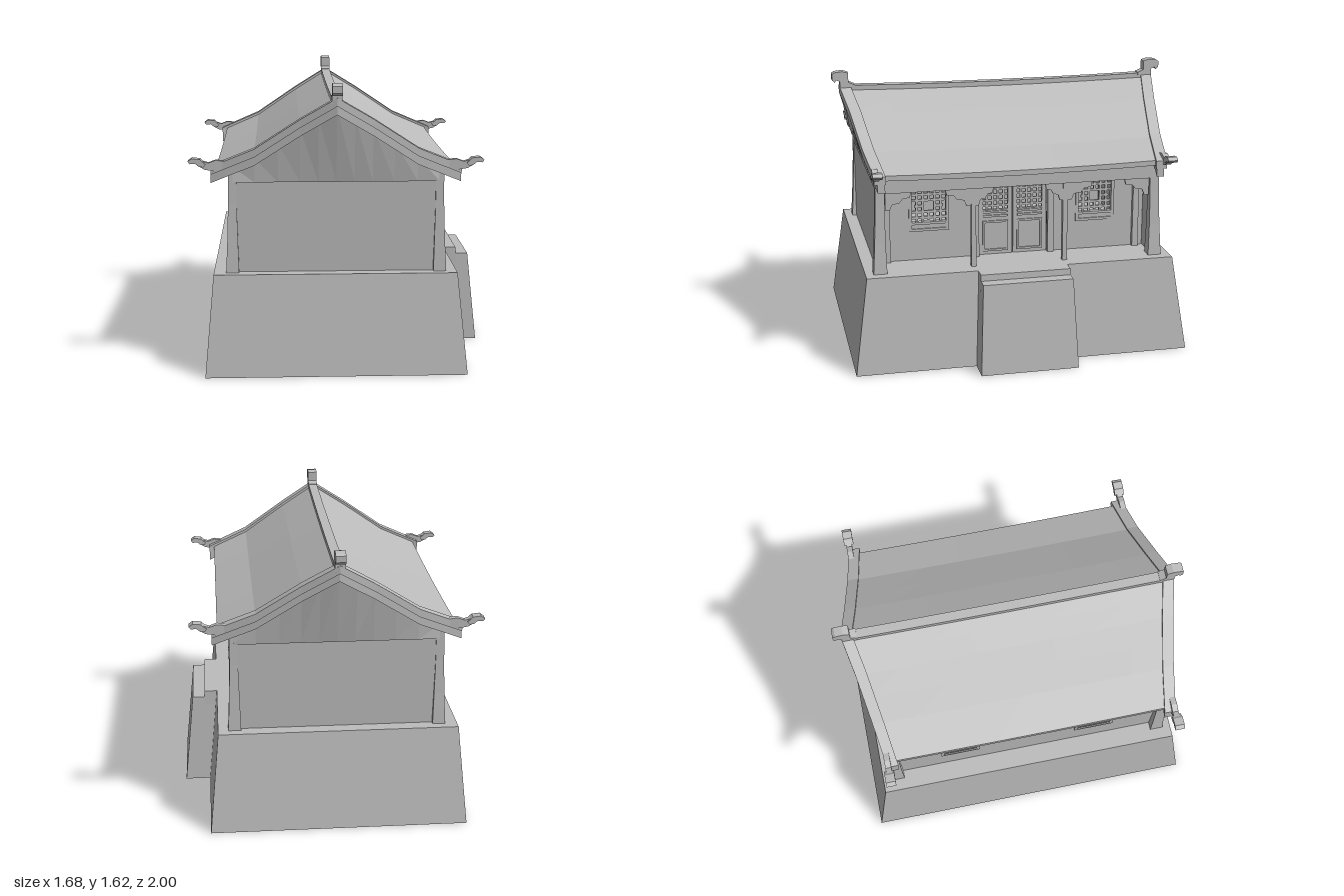
import * as THREE from 'three';

const CX = -0.03;          // centre line of the hall
const FLOOR = 0.565;       // top of the platform
const stone = new THREE.MeshStandardMaterial({ color: 0xbcbcbc, flatShading: true, side: THREE.DoubleSide });
stone.name = 'grey stone';

// Piecewise linear curves across the roof, by distance from the ridge
const curve = (pts) => (x) => {
  const d = Math.abs(x);
  let i = 1;
  while (i < pts.length - 1 && d > pts[i][0]) i++;
  const [a, b] = [pts[i - 1], pts[i]];
  return a[1] + (b[1] - a[1]) * (d - a[0]) / (b[0] - a[0]);
};
const roofY = curve([[0, 1.52], [0.2, 1.4], [0.45, 1.235], [0.69, 1.135]]);
const roofZ = curve([[0, 0.96], [0.2, 0.92], [0.45, 0.88], [0.69, 0.845]]);
const across = (w) => [-w, -0.45, -0.32, -0.2, -0.1, 0, 0.1, 0.2, 0.32, 0.45, w];

// Skin closed rings of [x, y, z] points; cap the ends when asked
function loft(rings, capStart = true, capEnd = true) {
  const n = rings[0].length, pos = rings.flat(2), idx = [];
  for (let r = 0; r < rings.length - 1; r++) {
    for (let i = 0; i < n; i++) {
      const a = r * n + i, b = r * n + (i + 1) % n;
      idx.push(a, b, b + n, a, b + n, a + n);
    }
  }
  const cap = (o, flip) => {
    for (let i = 0; i < n / 2 - 1; i++) {
      const [a, b, c, d] = [o + i, o + i + 1, o + n - 2 - i, o + n - 1 - i];
      idx.push(...(flip ? [a, c, b, a, d, c] : [a, b, c, a, c, d]));
    }
  };
  if (capStart) cap(0, true);
  if (capEnd) cap((rings.length - 1) * n, false);
  // turn the faces outward by the sign of the volume
  const v = (i) => new THREE.Vector3(pos[3 * i], pos[3 * i + 1] - 0.8, pos[3 * i + 2]);
  let vol = 0;
  for (let i = 0; i < idx.length; i += 3) vol += v(idx[i]).dot(v(idx[i + 1]).cross(v(idx[i + 2])));
  if (vol < 0) idx.reverse();
  const g = new THREE.BufferGeometry();
  g.setAttribute('position', new THREE.Float32BufferAttribute(pos, 3));
  g.setIndex(idx);
  const flat = g.toNonIndexed();
  flat.computeVertexNormals();
  return flat;
}

const rect = (x0, x1, z0, z1, y) => [[x0, y, z0], [x1, y, z0], [x1, y, z1], [x0, y, z1]];

// Shape drawn in (z, y), given a thickness along x, its front at x
function sideShape(points, holes, x, depth) {
  const toPath = (p) => p.map(([a, b]) => new THREE.Vector2(a, b));
  const shape = new THREE.Shape(toPath(points));
  shape.holes = holes.map((h) => new THREE.Path(toPath(h)));
  const g = new THREE.ExtrudeGeometry(shape, { depth, bevelEnabled: false });
  return g.rotateY(-Math.PI / 2).translate(x, 0, 0);
}
const box2 = (a0, a1, b0, b1) => [[a0, b0], [a1, b0], [a1, b1], [a0, b1]];

export function createModel() {
  const model = new THREE.Group();
  model.name = 'hall on platform';
  const add = (name, geo, parent = model) => {
    const m = new THREE.Mesh(geo, stone);
    m.name = name;
    parent.add(m);
    return m;
  };
  const box = (name, x0, x1, y0, y1, z0, z1, parent) =>
    add(name, new THREE.BoxGeometry(x1 - x0, y1 - y0, z1 - z0)
      .translate((x0 + x1) / 2, (y0 + y1) / 2, (z0 + z1) / 2), parent);

  // Platform, landing and step, hollow below
  add('platform', loft([rect(-0.76, 0.695, -0.99, 0.98, 0), rect(-0.71, 0.64, -0.905, 0.9, FLOOR)], false));
  add('landing', loft([rect(0.6, 0.74, -0.28, 0.275, 0), rect(0.6, 0.713, -0.265, 0.26, FLOOR)], false));
  add('step', loft([rect(0.62, 0.84, -0.29, 0.283, 0), rect(0.6, 0.785, -0.265, 0.26, 0.528)], false));

  // Roof slab, swept along z with a slight sag
  const w = 0.66, stations = across(w);
  add('roof', loft([-1, -0.75, -0.5, -0.25, 0, 0.25, 0.5, 0.75, 1].map((t) => {
    const at = (dy) => (d) => [CX + d, roofY(d) + dy + 0.012 * (t * t - 1), t * (roofZ(d) - 0.04)];
    return [...stations.map(at(0.01)), ...stations.slice().reverse().map(at(-0.02))];
  })));

  // Ridge beam
  add('ridge', loft([-0.95, -0.6, -0.3, 0, 0.3, 0.6, 0.95].map((z) => {
    const y = 1.53 + 0.014 * z * z;
    return [[CX - 0.027, y, z], [CX + 0.027, y, z], [CX + 0.027, y - 0.04, z], [CX - 0.027, y - 0.04, z]];
  })));

  for (const s of [-1, 1]) {
    // Gable edges: two stacked bands following the roof line
    const band = (name, top, bottom, zIn, zOut) => add(name, loft(across(0.69).map((d) => {
      const x = CX + d, y = roofY(d), zi = s * (roofZ(d) - zIn), zo = s * (roofZ(d) - zOut);
      return [[x, y + top, zi], [x, y + top, zo], [x, y + bottom, zo], [x, y + bottom, zi]];
    })));
    band('upperGableBand', 0.025, -0.02, 0.065, 0);
    band('lowerGableBand', -0.02, -0.068, 0.06, 0.018);

    // Curled ridge end
    const ridgeEnd = [[0.87, 1.51], [0.955, 1.51], [0.955, 1.565], [0.975, 1.575], [0.985, 1.56], [1, 1.575],
      [1, 1.61], [0.985, 1.62], [0.94, 1.625], [0.905, 1.615], [0.905, 1.56], [0.87, 1.545]];
    add('ridgeEnd', sideShape(ridgeEnd.map(([z, y]) => [s * z, y]), [], CX + 0.028, 0.056));

    // Curled eave ends
    for (const e of [-1, 1]) {
      const curl = (name, pts, depth) => {
        const shape = new THREE.Shape(pts.map(([d, y]) => new THREE.Vector2(CX + e * d, y)));
        add(name, new THREE.ExtrudeGeometry(shape, { depth, bevelEnabled: false })
          .translate(0, 0, s * 0.838 - depth / 2));
      };
      curl('eaveNeck', [[0.58, 1.16], [0.6, 1.19], [0.66, 1.197], [0.7, 1.182], [0.76, 1.2], [0.76, 1.168], [0.72, 1.145], [0.66, 1.135]], 0.034);
      curl('eaveCurl', [[0.715, 1.175], [0.745, 1.203], [0.79, 1.208], [0.812, 1.192], [0.8, 1.178], [0.77, 1.18], [0.75, 1.163], [0.725, 1.16]], 0.056);
    }

    // Gable wall and the upper gable leaning out to the roof edge
    box('gableWall', -0.59, 0.53, FLOOR, 1.09, s * 0.815 - 0.012, s * 0.815 + 0.012);
    add('upperGable', loft(across(0.57).map((d) => {
      const x = CX + d, top = roofY(d) - 0.03, z = roofZ(d) - 0.035;
      return [[x, top, s * (z - 0.03)], [x, top, s * z], [x, 1.07, s * 0.835], [x, 1.07, s * 0.8]];
    })));

    // Flared corner pillars
    for (const e of [-1, 1]) {
      const ring = (d0, d1, z0, z1, y) => rect(CX + e * d0, CX + e * d1, s * z0, s * z1, y);
      add('cornerPillar', loft([ring(0.54, 0.612, 0.775, 0.853, FLOOR), ring(0.545, 0.603, 0.78, 0.842, 0.75),
        ring(0.55, 0.597, 0.78, 0.833, 0.95), ring(0.55, 0.595, 0.775, 0.83, 1.15)]));
    }

    // Porch columns, wall posts and hanging brackets
    box('porchColumn', 0.53, 0.56, FLOOR, 1.05, s * 0.27 - 0.014, s * 0.27 + 0.014);
    box('doorPost', 0.365, 0.4, FLOOR, 1.06, s * 0.225 - 0.018, s * 0.225 + 0.018);
    box('wallPost', 0.365, 0.4, FLOOR, 1.06, s * 0.75 - 0.018, s * 0.75 + 0.018);
    const bracket = [[0, 1.04], [0, 0.93], [0.025, 0.93], [0.04, 0.965], [0.08, 0.97], [0.1, 0.995], [0.14, 1], [0.15, 1.04]];
    for (const [z, dir] of [[0.775, -1], [0.284, 1], [0.256, -0.7]]) {
      add('porchBracket', sideShape(bracket.map(([a, y]) => [s * (z + dir * a), y]), [], 0.553, 0.016));
    }
  }

  // Beams below the eaves
  box('frontBeam', 0.52, 0.57, 1.035, 1.16, -0.79, 0.79);
  box('backBeam', -0.625, -0.58, 1.035, 1.16, -0.79, 0.79);

  // Front and back walls with window and door openings
  const y0 = 0.795, y1 = 0.985;
  const openings = (c) => [c, -c].map((z) => box2(z - 0.1, z + 0.1, y0, y1));
  const door = [[-0.21, FLOOR], [-0.21, 1], [0.21, 1], [0.21, FLOOR]];
  const frontOutline = [[-0.8, FLOOR], ...door, [0.8, FLOOR], [0.8, 1.16], [-0.8, 1.16]];
  add('frontWall', sideShape(frontOutline, openings(0.5), 0.375, 0.025));
  add('backWall', sideShape(box2(-0.8, 0.8, FLOOR, 1.16), openings(0.41), -0.57, 0.025));

  // Lattice windows: raised frame, sill panel and crossed bars
  function latticeWindow(x, out, z) {
    const g = new THREE.Group();
    g.name = 'latticeWindow';
    model.add(g);
    const frame = sideShape(box2(-0.118, 0.118, 0.74, 1.0),
      [box2(-0.1, 0.1, y0, y1), box2(-0.1, 0.1, 0.755, 0.78)], 0.008, 0.016);
    add('windowFrame', frame.translate(x, 0, z), g);
    const b = 0.007;
    const bar = (z0, z1, ya, yb) => box('latticeBar', x - 0.014 * (out > 0 ? 1 : 0), x + 0.014 * (out > 0 ? 0 : 1), ya, yb, z + z0, z + z1, g);
    for (const k of [-0.07, -0.035, 0.035, 0.07]) {
      bar(k - b, k + b, y0, y1);
      bar(-0.1, 0.1, 0.89 + k - b, 0.89 + k + b);
    }
    for (const k of [-1, 1]) {
      bar(-b, b, 0.89 + k * 0.06 - 0.025, 0.89 + k * 0.06 + 0.025);
      bar(k * 0.06 - 0.025, k * 0.06 + 0.025, 0.883, 0.897);
    }
  }
  for (const s of [-1, 1]) {
    latticeWindow(0.375, 1, s * 0.5);
    latticeWindow(-0.595, -1, s * 0.41);
  }

  // Double door: lattice above, plain panels below
  for (const s of [-1, 1]) {
    const leaf = new THREE.Group();
    leaf.name = 'doorLeaf';
    model.add(leaf);
    const mid = s * 0.103;
    add('doorPanel', sideShape(box2(mid - 0.1, mid + 0.1, FLOOR, 1), [box2(mid - 0.075, mid + 0.075, 0.84, 0.985)], 0.365, 0.02), leaf);
    for (const k of [-0.05, -0.017, 0.017, 0.05]) {
      box('doorLatticeBar', 0.348, 0.36, 0.84, 0.985, mid + k - 0.006, mid + k + 0.006, leaf);
      box('doorLatticeBar', 0.348, 0.36, 0.912 + k - 0.006, 0.912 + k + 0.006, mid - 0.075, mid + 0.075, leaf);
    }
    for (const y of [0.585, 0.76, 0.795, 0.82]) {
      box('doorRail', 0.365, 0.373, y, y + 0.012, mid - 0.075, mid + 0.075, leaf);
    }
    for (const k of [-0.07, 0.07]) {
      box('doorStile', 0.365, 0.373, 0.585, 0.772, mid + k - 0.006, mid + k + 0.006, leaf);
    }
  }
  box('doorLintel', 0.365, 0.39, 0.995, 1.03, -0.24, 0.24);

  return model;
}
